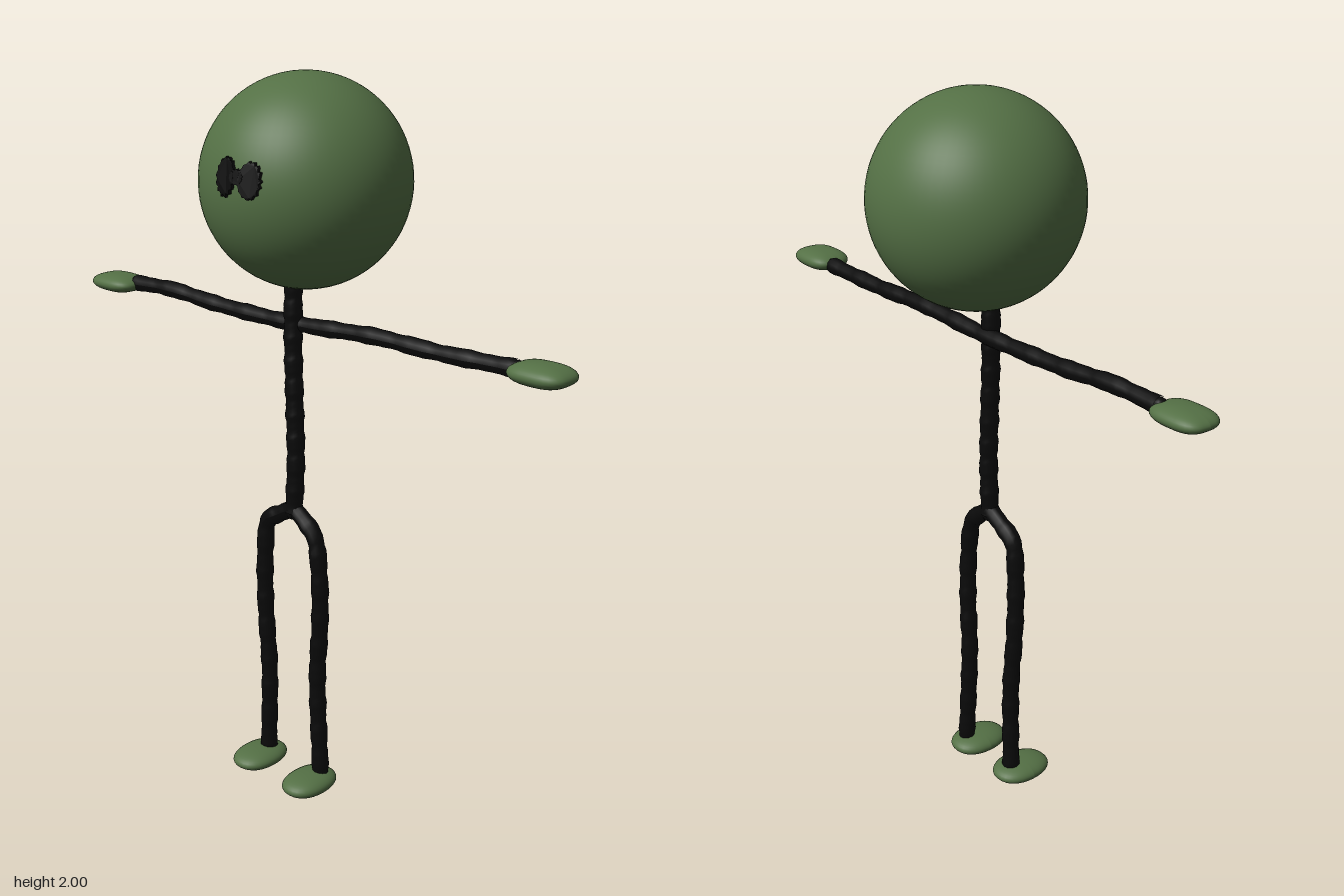
import * as THREE from 'three';

const green = new THREE.MeshStandardMaterial({ name: 'mossGreen', color: 0x547045 });
const black = new THREE.MeshStandardMaterial({ name: 'black', color: 0x0a0a0a });
const HEAD = new THREE.Vector3(-0.047, 1.723, -0.004);
const HEAD_R = 0.277;

export function createModel() {
  const model = new THREE.Group();
  model.name = 'stickFigure';

  const add = (name, geometry, material) => {
    const mesh = new THREE.Mesh(geometry, material);
    mesh.name = name;
    model.add(mesh);
    return mesh;
  };

  // Hand-drawn limb: a tube whose thickness wavers, closed with round ends
  const limb = (name, points, radius, phase) => {
    const pts = points.map((p) => new THREE.Vector3(...p));
    const curve = new THREE.CatmullRomCurve3(pts);
    const segments = 64, sides = 12;
    const geo = new THREE.TubeGeometry(curve, segments, radius, sides);
    const pos = geo.attributes.position;
    const v = new THREE.Vector3();
    for (let i = 0; i <= segments; i++) {
      const c = curve.getPointAt(i / segments);
      const s = 1 + 0.06 * Math.sin(i * 0.9 + phase) + 0.04 * Math.sin(i * 2.1 + phase);
      for (let j = 0; j <= sides; j++) {
        const k = i * (sides + 1) + j;
        v.fromBufferAttribute(pos, k).sub(c).multiplyScalar(s).add(c);
        pos.setXYZ(k, v.x, v.y, v.z);
      }
    }
    geo.computeVertexNormals();
    const mesh = add(name, geo, black);
    for (const p of [pts[0], pts[pts.length - 1]]) {
      const end = new THREE.Mesh(new THREE.SphereGeometry(radius * 0.95, 12, 8), black);
      end.name = name + 'End';
      end.position.copy(p);
      mesh.add(end);
    }
  };

  // Flattened pebble with a slightly squared outline in plan
  const pebble = (name, center, half, power, tilt = 0) => {
    const geo = new THREE.SphereGeometry(1, 32, 20);
    const pos = geo.attributes.position;
    const soft = (a, e) => Math.sign(a) * Math.pow(Math.abs(a), e);
    for (let i = 0; i < pos.count; i++) {
      const x = pos.getX(i), y = pos.getY(i), z = pos.getZ(i);
      const r = Math.hypot(x, z) || 1;
      const ring = Math.pow(r, 0.85);
      pos.setXYZ(i, soft(x / r, power) * ring * half[0], y * half[1], soft(z / r, power) * ring * half[2]);
    }
    geo.computeVertexNormals();
    const mesh = add(name, geo, green);
    mesh.position.set(...center);
    mesh.rotation.z = tilt;
  };

  // Head
  add('head', new THREE.SphereGeometry(HEAD_R, 64, 40), green).position.copy(HEAD);

  // Scribbled eyes: thin ragged patches laid onto the head
  const eye = (name, cx, cy, rx, ry, phase) => {
    const shape = new THREE.Shape();
    for (let i = 0; i < 40; i++) {
      const a = (i / 40) * Math.PI * 2;
      const s = 1 + 0.07 * Math.sin(i * 2.3 + phase) + 0.05 * Math.sin(i * 4.1 + phase);
      const x = cx + Math.cos(a) * rx * s, y = cy + Math.sin(a) * ry * s;
      if (i) shape.lineTo(x, y); else shape.moveTo(x, y);
    }
    const geo = new THREE.ExtrudeGeometry(shape, { depth: 0.009, bevelEnabled: false });
    const pos = geo.attributes.position;
    for (let i = 0; i < pos.count; i++) {
      const dx = pos.getX(i) - HEAD.x, dy = pos.getY(i) - HEAD.y;
      const surface = HEAD.z + Math.sqrt(HEAD_R ** 2 - dx * dx - dy * dy);
      pos.setZ(i, pos.getZ(i) + surface + 0.002);
    }
    geo.computeVertexNormals();
    add(name, geo, black);
  };
  eye('rightEye', -0.051, 1.766, 0.029, 0.046, 0);
  eye('leftEye', 0.022, 1.762, 0.03, 0.044, 2);
  eye('eyeBridge', -0.015, 1.768, 0.02, 0.018, 4);

  // Torso and arms
  limb('torso', [[-0.046, 1.48, 0.045], [-0.046, 1.33, 0.048], [-0.04, 1.15, 0.05],
    [-0.034, 0.98, 0.052], [-0.042, 0.83, 0.052]], 0.025, 0);
  limb('arms', [[-0.67, 1.366, 0.045], [-0.52, 1.37, 0.043], [-0.35, 1.358, 0.04], [-0.15, 1.353, 0.037],
    [0, 1.355, 0.033], [0.22, 1.366, 0.028], [0.42, 1.362, 0.024], [0.655, 1.367, 0.02]], 0.022, 1);

  // Legs
  limb('rightLeg', [[-0.042, 0.84, 0.052], [-0.09, 0.812, 0.054], [-0.138, 0.78, 0.054], [-0.153, 0.68, 0.054],
    [-0.157, 0.5, 0.05], [-0.148, 0.32, 0.047], [-0.156, 0.05, 0.045]], 0.024, 2);
  limb('leftLeg', [[-0.042, 0.84, 0.052], [0, 0.81, 0.052], [0.035, 0.775, 0.052], [0.052, 0.66, 0.051],
    [0.05, 0.52, 0.047], [0.037, 0.35, 0.043], [0.046, 0.05, 0.04]], 0.024, 3);

  // Hands and feet
  pebble('rightHand', [-0.738, 1.361, 0.056], [0.083, 0.026, 0.061], 0.7);
  pebble('leftHand', [0.732, 1.371, 0.03], [0.083, 0.028, 0.062], 0.7);
  pebble('rightFoot', [-0.16, 0.038, 0.078], [0.063, 0.027, 0.087], 0.9);
  pebble('leftFoot', [0.036, 0.028, 0.076], [0.063, 0.028, 0.087], 0.9);

  return model;
}
